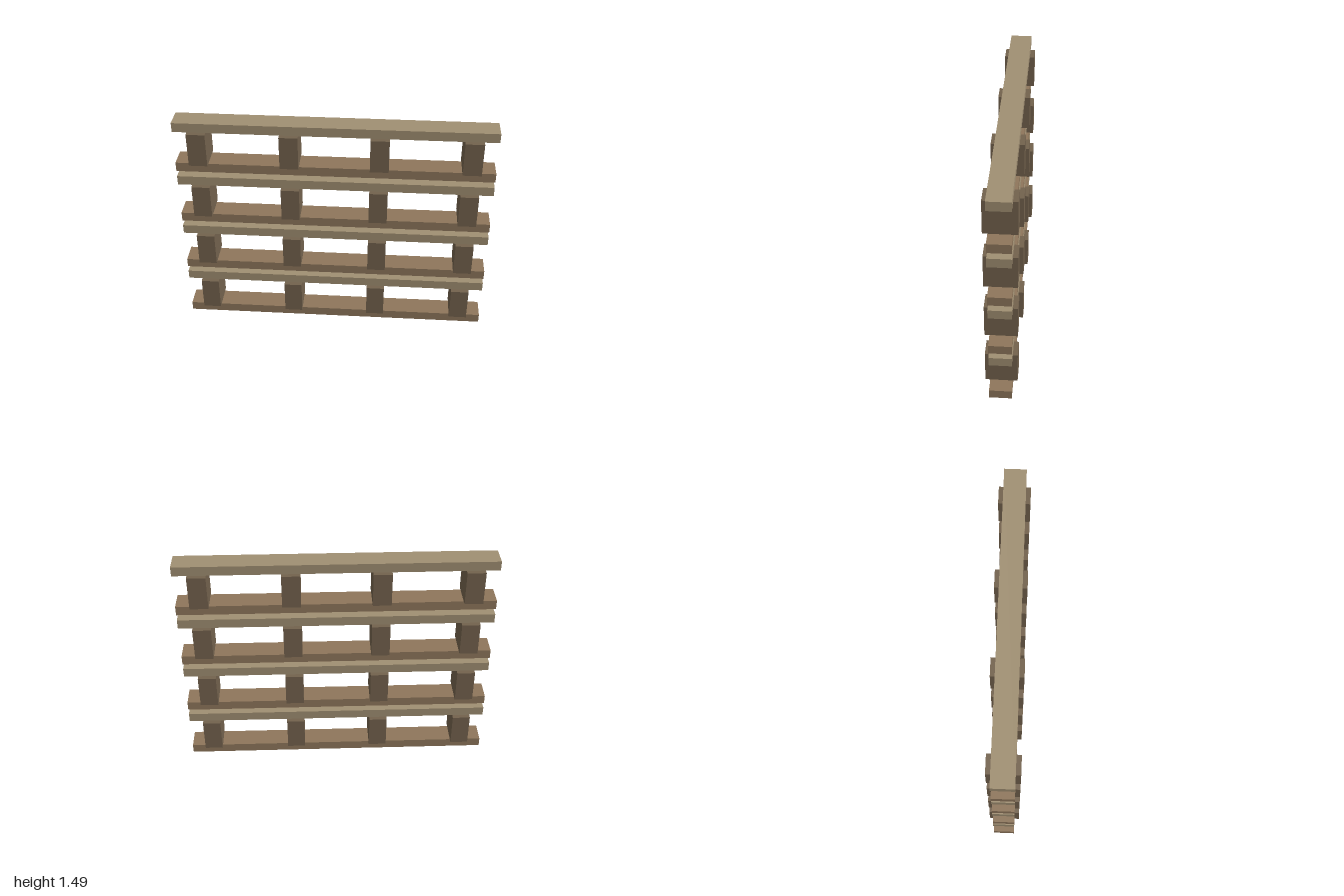
import * as THREE from 'three';

const TIERS = 4;
const PITCH = 0.381;
const BOARD = { length: 2, height: 0.061, depth: 0.14 };
const BLOCK = { width: 0.117, height: 0.22, depth: 0.2 };
const BLOCK_X = [-0.85, -0.28, 0.28, 0.85];

const wood = (color) => new THREE.MeshStandardMaterial({ color });

export function createModel() {
  const model = new THREE.Group();
  model.name = 'woodenRack';

  const boardGeometry = new THREE.BoxGeometry(BOARD.length, BOARD.height, BOARD.depth);
  const blockGeometry = new THREE.BoxGeometry(BLOCK.width, BLOCK.height, BLOCK.depth);
  const lowerWood = wood(0x8e765b);
  const blockWood = wood(0x73624d);
  const upperWood = wood(0xa08f72);

  const add = (parent, name, geometry, material, x, y) => {
    const mesh = new THREE.Mesh(geometry, material);
    mesh.name = name;
    mesh.position.set(x, y, 0);
    parent.add(mesh);
  };

  // Each tier: a lower board, four spacer blocks and an upper board
  for (let i = 0; i < TIERS; i++) {
    const tier = new THREE.Group();
    tier.name = `tier${i + 1}`;
    tier.position.y = i * PITCH;

    add(tier, 'lowerBoard', boardGeometry, lowerWood, 0, BOARD.height / 2);
    BLOCK_X.forEach((x, j) => {
      add(tier, `spacerBlock${j + 1}`, blockGeometry, blockWood, x, BOARD.height + BLOCK.height / 2);
    });
    add(tier, 'upperBoard', boardGeometry, upperWood, 0, BOARD.height * 1.5 + BLOCK.height);

    model.add(tier);
  }
  return model;
}
